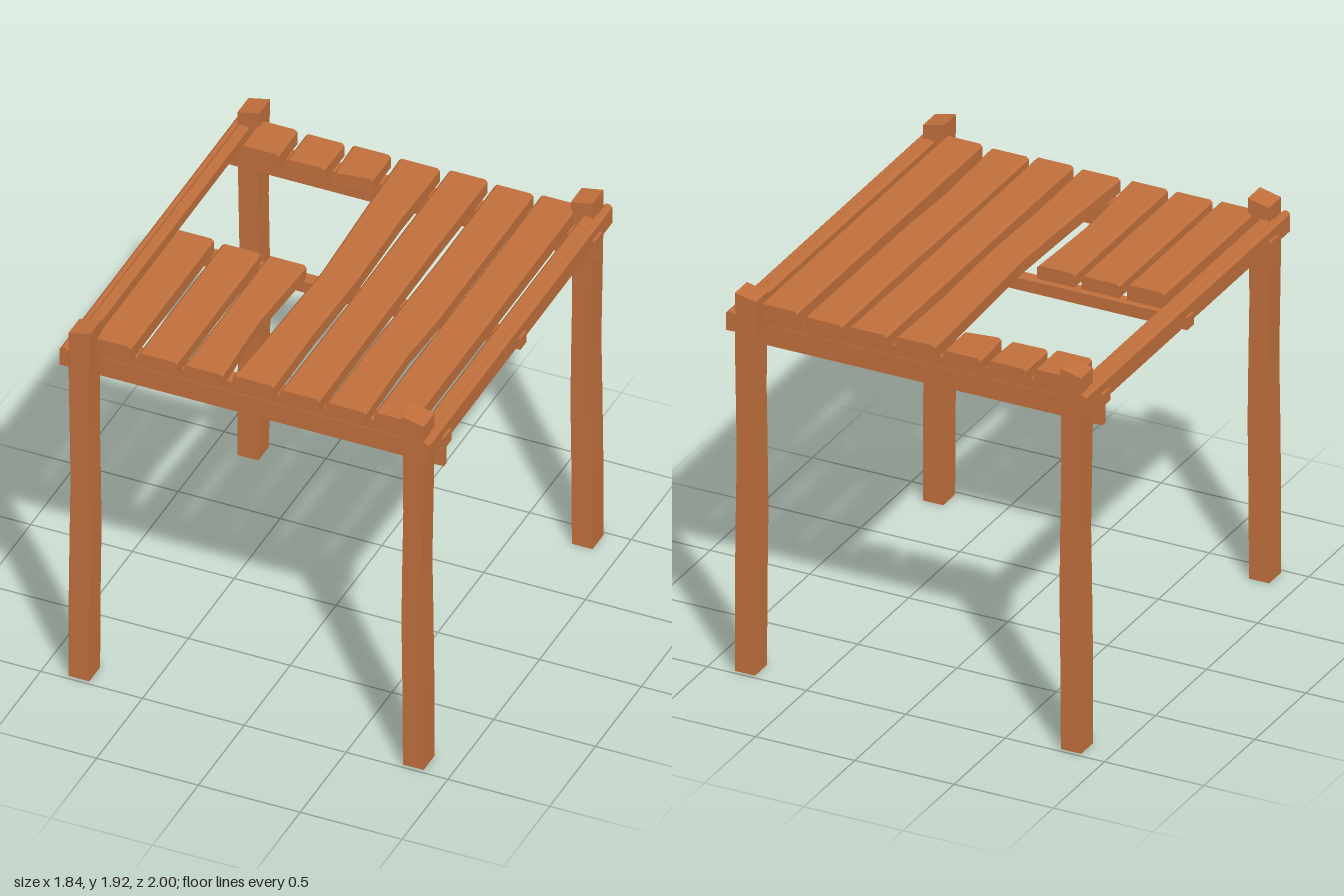
import * as THREE from 'three';

const wood = new THREE.MeshStandardMaterial({ color: 0xc1703c, flatShading: true });

// Skin a list of equal rings; each ring runs counter-clockwise seen from the far end.
function loft(rings) {
  const pos = [];
  const tri = (a, b, c) => pos.push(...a, ...b, ...c);
  const n = rings[0].length;
  for (let i = 0; i < rings.length - 1; i++) {
    for (let j = 0; j < n; j++) {
      const k = (j + 1) % n;
      const a = rings[i][j], b = rings[i][k], c = rings[i + 1][k], d = rings[i + 1][j];
      tri(a, b, c);
      tri(a, c, d);
    }
  }
  const first = rings[0], last = rings[rings.length - 1];
  for (let j = 1; j < n - 1; j++) {
    tri(first[0], first[j + 1], first[j]);
    tri(last[0], last[j], last[j + 1]);
  }
  const g = new THREE.BufferGeometry();
  g.setAttribute('position', new THREE.Float32BufferAttribute(pos, 3));
  g.computeVertexNormals();
  return g;
}

export function createModel() {
  const model = new THREE.Group();
  const add = (name, geometry) => {
    const mesh = new THREE.Mesh(geometry, wood);
    mesh.name = name;
    model.add(mesh);
    return mesh;
  };
  // Box given by its limits on each axis
  const box = (name, x0, x1, y0, y1, z0, z1) =>
    add(name, new THREE.BoxGeometry(x1 - x0, y1 - y0, z1 - z0))
      .position.set((x0 + x1) / 2, (y0 + y1) / 2, (z0 + z1) / 2);

  // Board along z with chamfered top edges; sections are [z, xLeft, xRight, zRight?]
  const board = (name, sections, bottom, top, chamfer = 0.012) =>
    add(name, loft(sections.map(([z, l, r, zr = z]) => {
      const at = (x, y) => [x, y, z + (zr - z) * (x - l) / (r - l)];
      return [at(l, bottom), at(r, bottom), at(r, top - chamfer),
        at(r - chamfer, top), at(l + chamfer, top), at(l, top - chamfer)];
    })));

  // Four slightly crooked posts: [y, inner x, outer x], slanted at the top
  const post = [[0, 0.77, 0.872], [0.4, 0.768, 0.872], [0.8, 0.763, 0.867],
    [1.1, 0.767, 0.862], [1.4, 0.772, 0.867], [1.7, 0.77, 0.872]];
  for (const sx of [-1, 1]) {
    for (const sz of [-1, 1]) {
      const rising = sx > 0 && sz < 0;
      const yInner = rising ? 1.892 : 1.925, yOuter = rising ? 1.913 : 1.9;
      const levels = [...post.map(([y, i, o]) => [y, y, i, o]), [yInner, yOuter, 0.765, 0.872]];
      const rings = levels.map(([yi, yo, i, o]) => {
        const z0 = 0.862, z1 = 0.98;
        const ring = [[sx * i, yi, sz * z0], [sx * i, yi, sz * z1],
          [sx * o, yo, sz * z1], [sx * o, yo, sz * z0]];
        return sx * sz > 0 ? ring : ring.reverse();
      });
      add('post', loft(rings));
    }
  }

  // Cross beams at front and back: tall board with a ledge strip on top
  for (const s of [-1, 1]) {
    const span = (a, b) => (s > 0 ? [a, b] : [-b, -a]);
    box('crossBeam', -0.92, 0.92, 1.62, 1.72, ...span(0.835, 0.865));
    box('crossBeamLedge', -0.92, 0.92, 1.712, 1.772, ...span(0.783, 0.862));
  }
  box('middleBeam', -0.92, 0.92, 1.712, 1.772, -0.033, 0.032);

  // Side rails: outer board and inner strip
  for (const s of [-1, 1]) {
    const rail = (name, a, b, len, y0, y1) => {
      const [l, r] = s > 0 ? [a, b] : [-b, -a];
      board(name, [[-len, l, r], [len, l, r]], y0, y1);
    };
    rail('sideRail', 0.865, 0.907, 1, 1.728, 1.826);
    rail('sideRailStrip', 0.817, 0.875, 0.91, 1.772, 1.835);
  }

  // Roof planks, left to right; the first three are broken behind the middle beam
  const plank = (top, ...sections) => board('plank', sections, 1.772, top);
  plank(1.85, [0, -0.785, -0.6], [0.905, -0.785, -0.6]);
  plank(1.84, [0, -0.56, -0.37], [0.915, -0.56, -0.37]);
  plank(1.84, [0, -0.335, -0.145], [0.25, -0.335, -0.158], [0.45, -0.335, -0.167],
    [0.65, -0.335, -0.16], [0.915, -0.335, -0.145]);
  plank(1.845, [-0.91, -0.1, 0.1], [-0.5, -0.085, 0.093], [0, -0.065, 0.105],
    [0.45, -0.078, 0.095], [0.905, -0.1, 0.1]);
  plank(1.845, [-0.92, 0.14, 0.33], [-0.4, 0.14, 0.325], [0.4, 0.143, 0.328], [0.915, 0.14, 0.33]);
  plank(1.838, [-0.915, 0.368, 0.557], [-0.3, 0.372, 0.557], [0.1, 0.366, 0.557],
    [0.42, 0.362, 0.543], [0.91, 0.362, 0.557]);
  plank(1.85, [-0.91, 0.595, 0.78], [0.905, 0.595, 0.78]);

  // Broken stubs at the back
  const stub = (top, ...sections) => board('brokenPlank', sections, 1.772, top);
  stub(1.85, [-0.91, -0.785, -0.6], [-0.703, -0.785, -0.6]);
  stub(1.84, [-0.915, -0.56, -0.37], [-0.7, -0.56, -0.375, -0.705]);
  stub(1.84, [-0.92, -0.335, -0.145], [-0.695, -0.325, -0.145, -0.72]);

  return model;
}
